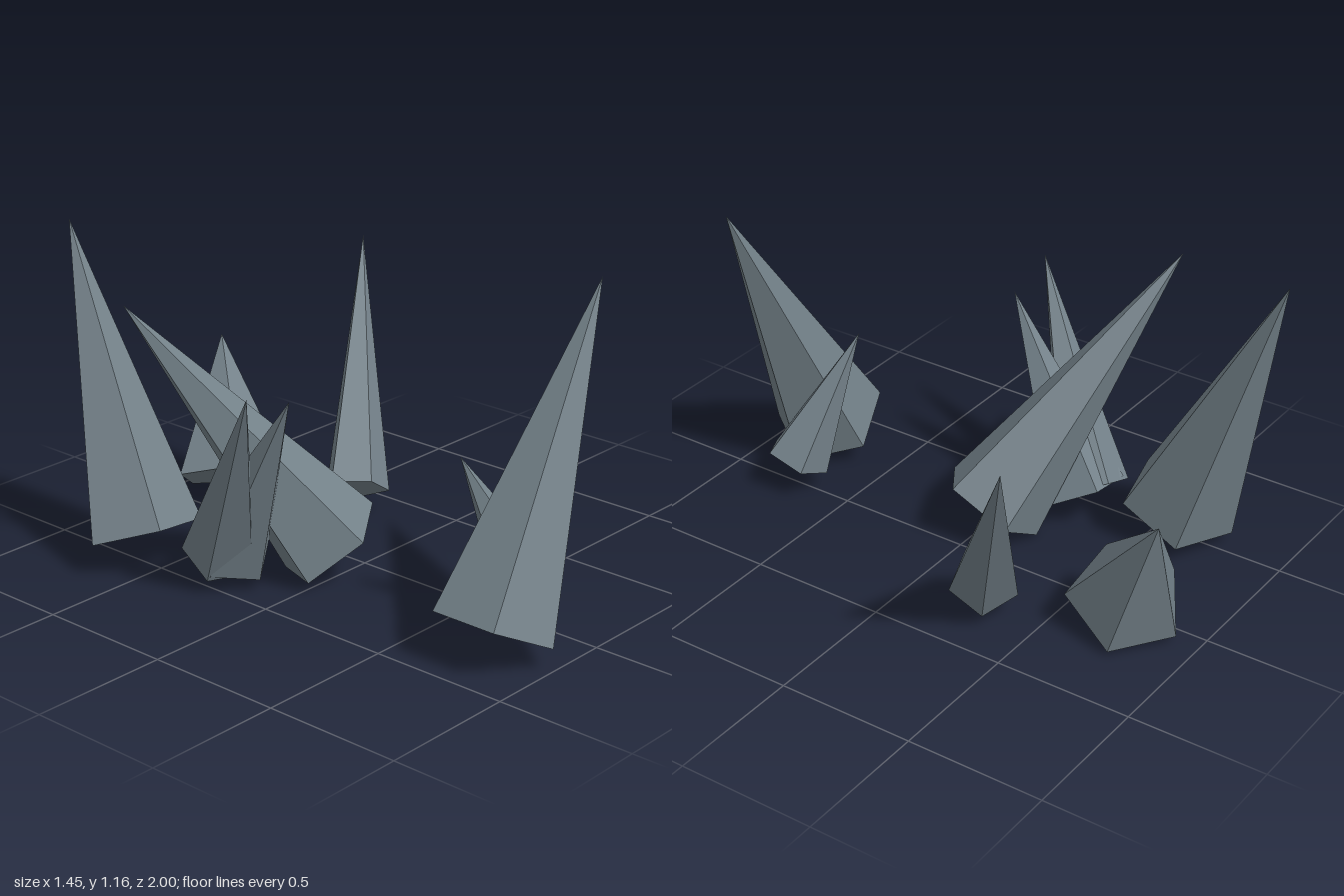
import * as THREE from 'three';

// Each spike: base centre, tip, base radius, and rough direction from the centre to one base corner
const SPIKES = [
  { name: 'frontTallSpike', base: [-0.29, 0.11, 0.80], tip: [0.24, 1.16, 0.80], radius: 0.21, corner: [0.19, -0.095, 0] },
  { name: 'frontSmallSpike', base: [0.018, 0.116, 0.713], tip: [-0.17, 0.60, 0.56], radius: 0.12, corner: [-0.03, 0.034, 0.117] },
  { name: 'rightLeaningSpike', base: [0.279, 0.116, -0.291], tip: [0.73, 0.90, -0.655], radius: 0.123, corner: [-0.109, 0.054, -0.019] },
  { name: 'backTallSpike', base: [-0.509, 0.117, -0.583], tip: [-0.413, 1.145, -1.0], radius: 0.212, corner: [-0.081, 0.081, 0.178] },
  { name: 'backShortSpike', base: [0.084, 0.11, -0.73], tip: [0.26, 0.565, -0.942], radius: 0.208, corner: [-0.104, 0.11, 0.145] },
  { name: 'middleLargeSpike', base: [-0.137, 0.114, -0.035], tip: [-0.668, 1.01, -0.463], radius: 0.2, corner: [0.152, 0.111, 0.06] },
  { name: 'leftOuterSpike', base: [-0.44, 0.115, -0.265], tip: [-0.69, 0.83, 0.115], radius: 0.135, corner: [0.06, 0.082, -0.115] },
  { name: 'leftInnerSpike', base: [-0.41, 0.11, -0.25], tip: [-0.49, 0.765, 0.11], radius: 0.15, corner: [-0.14, -0.04, 0.04] },
];

// Five-sided cone standing on its base centre, leaning towards its tip
function makeSpike({ name, base, tip, radius, corner }, material) {
  const origin = new THREE.Vector3(...base);
  const up = new THREE.Vector3(...tip).sub(origin);
  const height = up.length();
  up.normalize();
  const forward = new THREE.Vector3(...corner).projectOnPlane(up).normalize();
  const side = new THREE.Vector3().crossVectors(up, forward);

  const geometry = new THREE.ConeGeometry(radius, height, 5);
  geometry.translate(0, height / 2, 0);
  const spike = new THREE.Mesh(geometry, material);
  spike.name = name;
  spike.position.copy(origin);
  spike.quaternion.setFromRotationMatrix(new THREE.Matrix4().makeBasis(side, up, forward));
  return spike;
}

export function createModel() {
  const group = new THREE.Group();
  group.name = 'rockSpikes';
  const stone = new THREE.MeshStandardMaterial({ color: 0x74828a, flatShading: true });
  for (const spec of SPIKES) group.add(makeSpike(spec, stone));
  return group;
}
